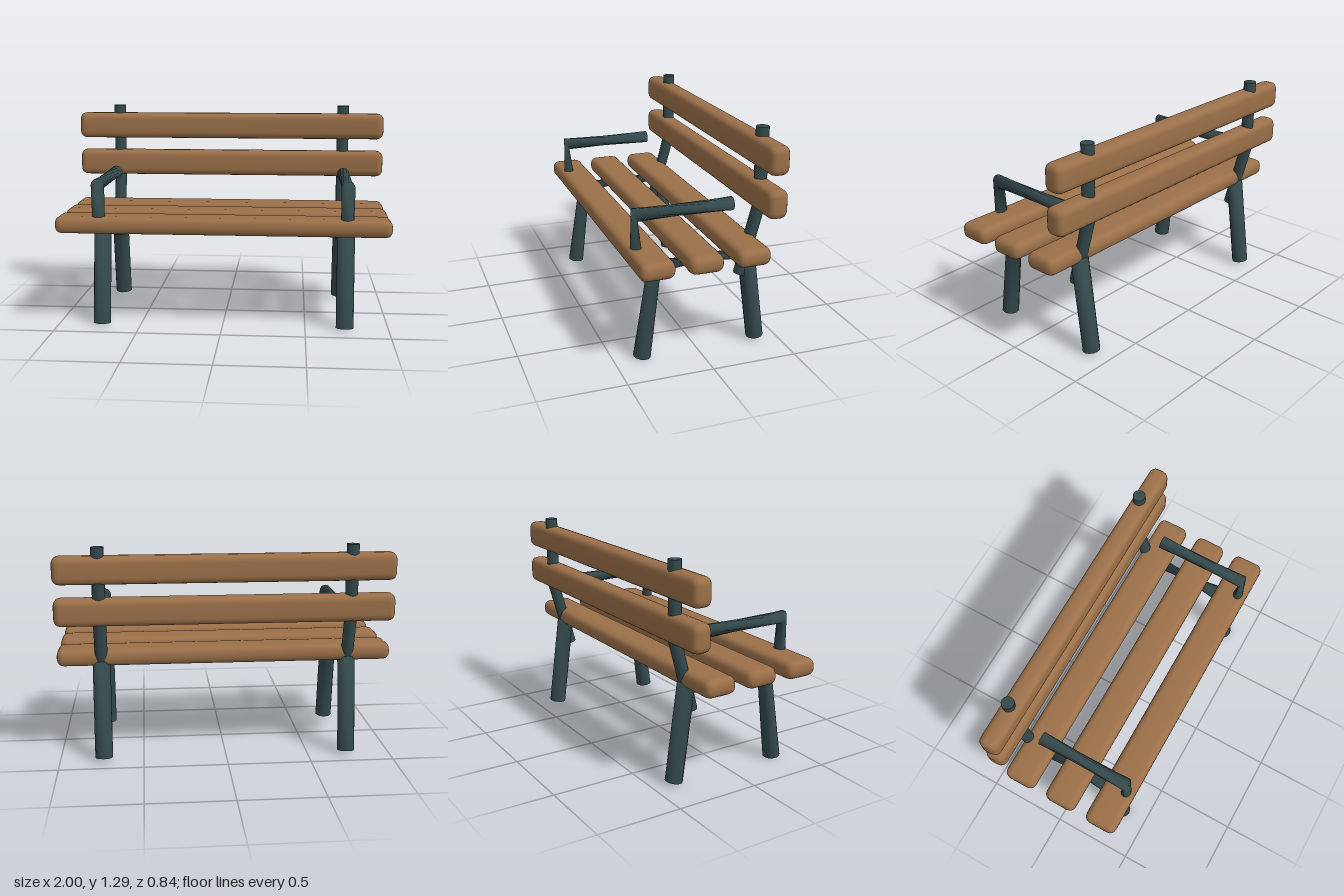
import * as THREE from 'three';
import { mergeVertices } from 'three/addons/utils/BufferGeometryUtils.js';
import { RoundedBoxGeometry } from 'three/addons/geometries/RoundedBoxGeometry.js';

const SIDES = 12;

// Lofts a capped tube through rings lying across a path in the z-y plane.
// Ring: [z, y, dz, dy, half width in x, twist in degrees]
function pipe(rings) {
  const pos = [], index = [];
  const addRing = ([z, y, dz, dy, w, twist = 0]) => {
    const start = pos.length / 3;
    for (let j = 0; j < SIDES; j++) {
      const a = (j / SIDES) * Math.PI * 2 + THREE.MathUtils.degToRad(twist);
      pos.push(w * Math.sin(a), y + dy * Math.cos(a), z + dz * Math.cos(a));
    }
    return start;
  };
  const starts = rings.map(addRing);
  for (let i = 0; i < rings.length - 1; i++) {
    for (let j = 0; j < SIDES; j++) {
      const k = (j + 1) % SIDES;
      const a = starts[i] + j, b = starts[i] + k;
      const c = starts[i + 1] + j, d = starts[i + 1] + k;
      index.push(a, b, c, b, d, c);
    }
  }
  // End caps with their own vertices, so their rims stay sharp
  const first = addRing(rings[0]), last = addRing(rings[rings.length - 1]);
  for (let j = 1; j < SIDES - 1; j++) {
    index.push(first, first + j + 1, first + j);
    index.push(last, last + j, last + j + 1);
  }
  const g = new THREE.BufferGeometry();
  g.setAttribute('position', new THREE.Float32BufferAttribute(pos, 3));
  g.setIndex(index);
  g.computeVertexNormals();
  return g;
}

// Plank with soft edges and fully smooth shading
function plank(height, depth) {
  let g = new RoundedBoxGeometry(2, height, depth, 2, 0.042);
  g.deleteAttribute('normal');
  g.deleteAttribute('uv');
  g = mergeVertices(g, 1e-4);
  g.computeVertexNormals();
  return g;
}

export function createModel() {
  const group = new THREE.Group();
  const wood = new THREE.MeshStandardMaterial({ color: 0x9b7049 });
  const metal = new THREE.MeshStandardMaterial({ color: 0x34494c });

  const add = (name, geometry, material, x, y, z) => {
    const mesh = new THREE.Mesh(geometry, material);
    mesh.name = name;
    mesh.position.set(x, y, z);
    group.add(mesh);
  };

  // Seat and backrest planks
  const seat = plank(0.104, 0.2);
  [0.32, 0.043, -0.235].forEach((z, i) => add('seatSlat' + (i + 1), seat, wood, 0, 0.628, z));
  const back = plank(0.165, 0.12);
  [0.918, 1.162].forEach((y, i) => add('backSlat' + (i + 1), back, wood, 0, y, -0.36));

  // Front leg, twisted seat rail and rear leg as one bent pipe
  const legs = pipe([
    [0.333, 0.009, 0.05, 0.006, 0.053],
    [0.257, 0.553, 0.03, 0.0375, 0.053],
    [-0.295, 0.57, -0.045, 0.04, 0.053, 150],
    [-0.37, 0.022, -0.05, 0.007, 0.053, 150],
  ]);

  // Back post, its lower end poking out under the seat
  const post = pipe([
    [-0.257, 0.435, 0.033, 0.009, 0.038],
    [-0.368, 0.85, 0.036, 0.005, 0.038],
    [-0.37, 1.295, 0.038, 0, 0.038],
  ]);

  // Armrest rising from the front plank, with a quarter twist along the arm
  const arm = pipe([
    [0.362, 0.62, 0.036, 0, 0.038],
    [0.372, 0.868, 0.014, 0.038, 0.04],
    [-0.2, 0.868, 0, 0.04, 0.04, 90],
  ]);

  for (const [side, x] of [['left', 0.738], ['right', -0.738]]) {
    add(side + 'Legs', legs, metal, x, 0, 0);
    add(side + 'BackPost', post, metal, x, 0, 0);
    add(side + 'Armrest', arm, metal, x, 0, 0);
  }
  return group;
}
